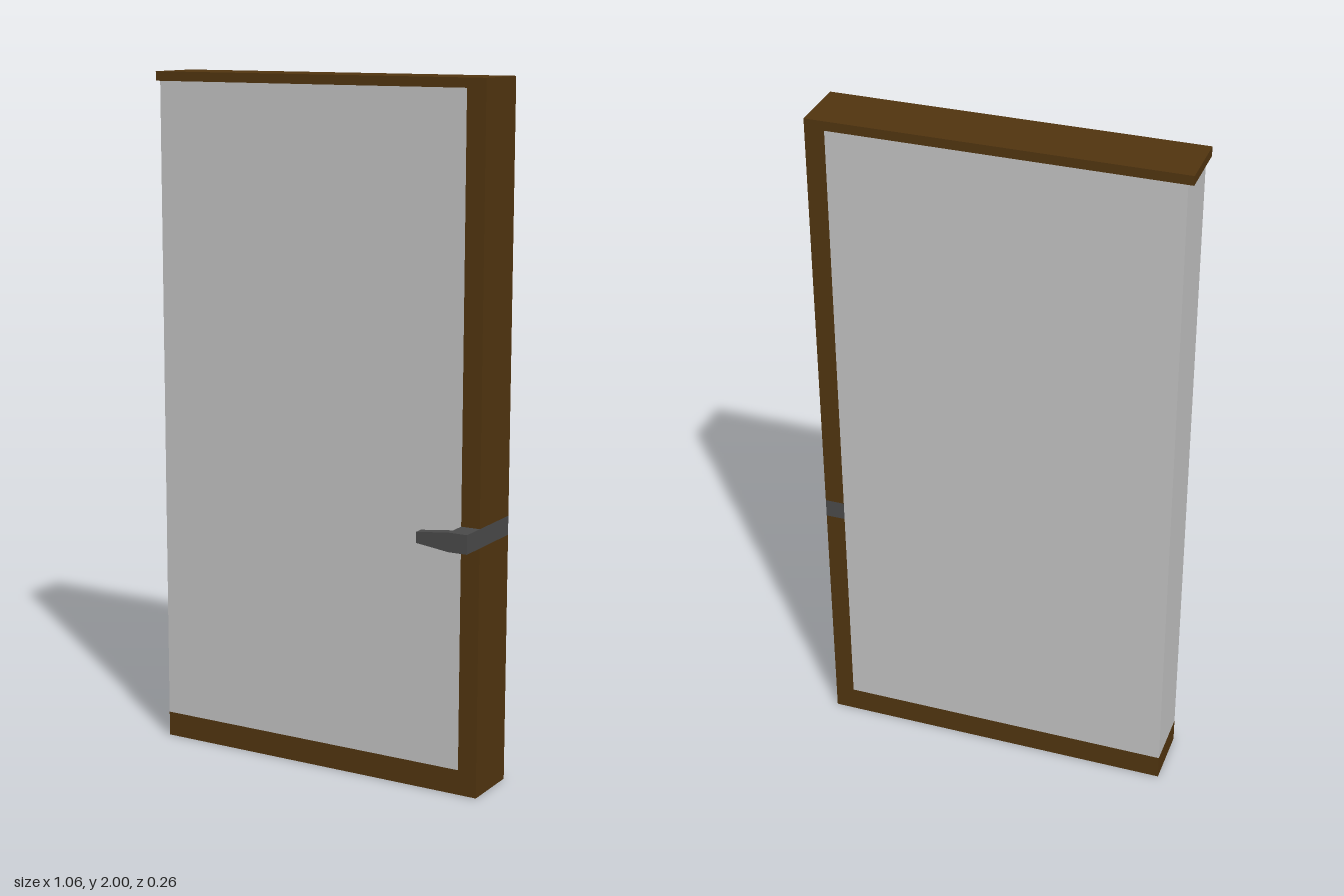
import * as THREE from 'three';

function material(name, color) {
  const m = new THREE.MeshStandardMaterial({ color });
  m.name = name;
  return m;
}

export function createModel() {
  const wood = material('dark brown wood', 0x50340f);
  const panelGrey = material('light grey panel', 0xc0c0c0);
  const metal = material('dark grey metal', 0x494949);
  const model = new THREE.Group();
  model.name = 'door';

  // Box given by its two opposite corners
  function box(name, mat, [x0, y0, z0], [x1, y1, z1]) {
    const mesh = new THREE.Mesh(new THREE.BoxGeometry(x1 - x0, y1 - y0, z1 - z0), mat);
    mesh.position.set((x0 + x1) / 2, (y0 + y1) / 2, (z0 + z1) / 2);
    mesh.name = name;
    model.add(mesh);
  }

  const back = -0.129, front = 0.051;
  const left = -0.515, inner = 0.47, right = 0.527;
  const railTop = 0.073, capBottom = 1.973;
  const handleLow = 0.725, handleHigh = 0.78;

  // Frame: rails and a stile interrupted by the handle bar
  box('topRail', wood, [-0.53, capBottom, back], [right, 2, front]);
  box('bottomRail', wood, [left, 0, back], [right, railTop, front]);
  box('lowerStile', wood, [inner, railTop, back], [right, handleLow, front]);
  box('upperStile', wood, [inner, handleHigh, back], [right, capBottom, front]);

  // Door leaf
  box('panel', panelGrey, [left, railTop, back], [inner, capBottom, front]);

  // Handle: a bar through the stile and a tapered grip
  const gripBack = 0.099, gripFront = 0.128;
  box('handleBar', metal, [inner, handleLow, back], [right, handleHigh, gripBack]);
  const outline = new THREE.Shape([
    [right, handleLow], [right, handleHigh], [inner, handleHigh],
    [0.37, 0.769], [0.37, 0.738], [inner, handleLow],
  ].map(([x, y]) => new THREE.Vector2(x, y)));
  const grip = new THREE.Mesh(
    new THREE.ExtrudeGeometry(outline, { depth: gripFront - gripBack, bevelEnabled: false }),
    metal,
  );
  grip.position.z = gripBack;
  grip.name = 'handleGrip';
  model.add(grip);

  return model;
}
